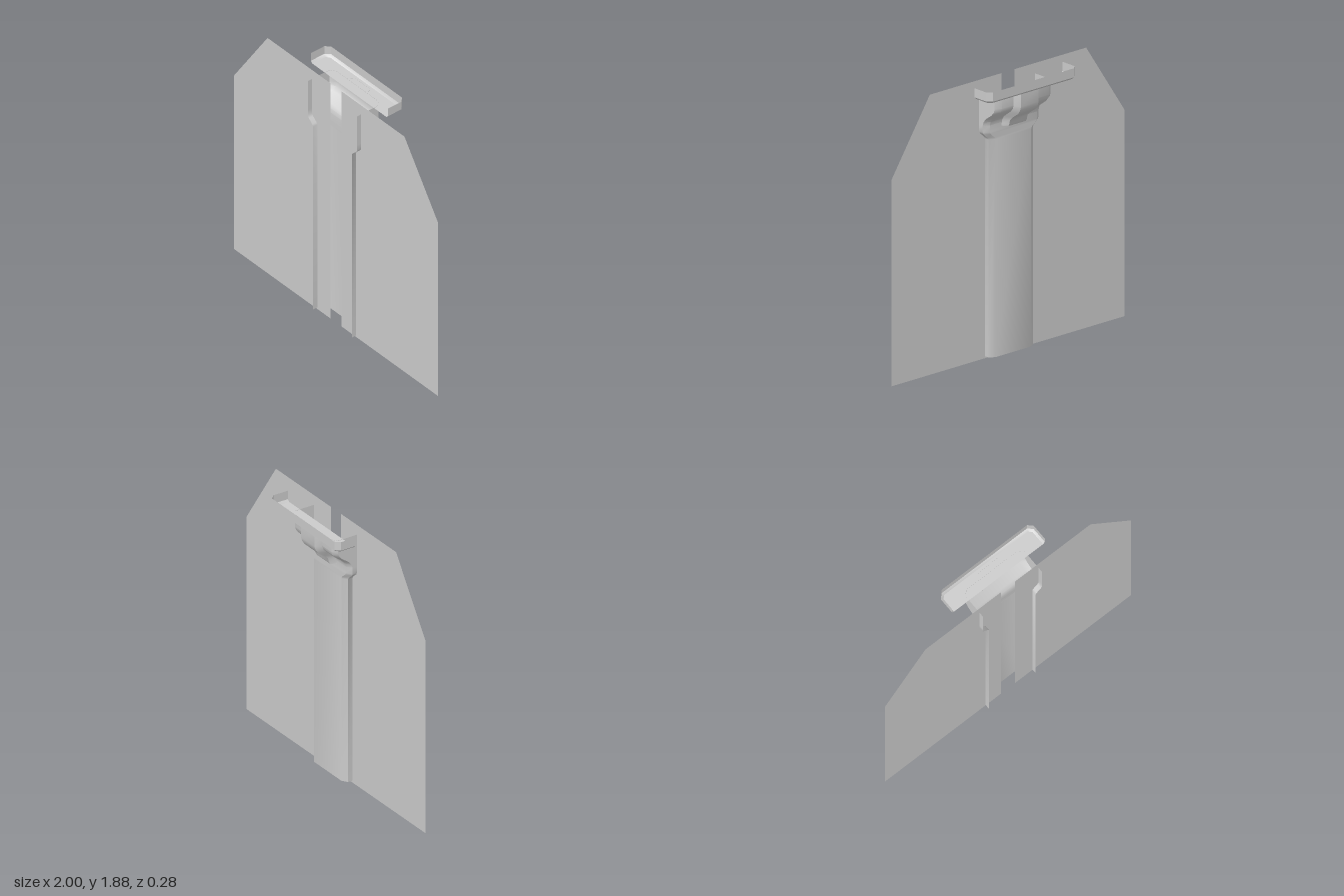
import * as THREE from 'three';
import { toCreasedNormals } from 'three/addons/utils/BufferGeometryUtils.js';

const material = new THREE.MeshStandardMaterial({ color: 0xcccccc, side: THREE.DoubleSide });
const CENTRE = 0.007; // bracket and tray sit slightly off the panel centre

// Skin between open cross-sections, each a list of [x, y, z]
function loft(name, sections) {
  const n = sections[0].length, index = [];
  for (let r = 0; r < sections.length - 1; r++) {
    for (let i = 0; i < n - 1; i++) {
      const a = r * n + i, b = a + n;
      index.push(a, b, a + 1, a + 1, b, b + 1);
    }
  }
  const geometry = new THREE.BufferGeometry();
  geometry.setAttribute('position', new THREE.Float32BufferAttribute(sections.flat(2), 3));
  geometry.setIndex(index);
  const mesh = new THREE.Mesh(toCreasedNormals(geometry, 0.6), material);
  mesh.name = name;
  return mesh;
}

function sheet(name, points) {
  const shape = new THREE.Shape(points.map(([x, y]) => new THREE.Vector2(x, y)));
  const mesh = new THREE.Mesh(new THREE.ShapeGeometry(shape), material);
  mesh.name = name;
  return mesh;
}

// Add the mirrored half to a list of [x, z] points
const mirrored = (half) => [...half, ...half.map(([x, z]) => [-x, z]).reverse()];

export function createModel() {
  const model = new THREE.Group();

  // Two thin front panels with a slot between them
  for (const side of [-1, 1]) {
    const outline = [[0.055, 0], [1, 0], [1, 1.38], [0.67, 1.875], [0.055, 1.875]];
    const panel = sheet(side > 0 ? 'leftPanel' : 'rightPanel', outline.map(([x, y]) => [x * side, y]));
    panel.position.z = 0.105;
    model.add(panel);
  }

  // Channel: [height, depth of back face, extra half width]
  const spine = [
    [0.013, 0.047, 0], [1.47, 0.047, 0], [1.485, 0.047, 0.008], [1.515, 0.047, 0.042],
    [1.53, 0.047, 0.05], [1.575, 0.047, 0.05], [1.6, 0.04, 0.05], [1.625, 0.02, 0.05],
    [1.665, -0.035, 0.05], [1.69, -0.057, 0.05], [1.715, -0.065, 0.05], [1.805, -0.065, 0.05],
  ];
  const channel = loft('channel', spine.map(([y, z, w]) =>
    mirrored([[-0.19 - w, 0.14], [-0.19 - w, z + 0.025], [-0.152 - w, z]]).map(([x, d]) => [x, y, d])));
  channel.position.x = CENTRE;
  model.add(channel);

  // Raised rib on the back of the bend: [height, root depth, face depth]
  const ribLine = [
    [1.55, 0.047, 0.047], [1.55, 0.047, 0.012], [1.565, 0.047, 0.004], [1.595, 0.042, -0.004],
    [1.62, 0.025, -0.03], [1.655, -0.022, -0.08], [1.68, -0.05, -0.097],
    [1.71, -0.065, -0.107], [1.805, -0.065, -0.107],
  ];
  const rib = loft('rib', ribLine.map(([y, root, face]) =>
    mirrored([[-0.1, root], [-0.075, face]]).map(([x, z]) => [x, y, z])));
  rib.position.x = CENTRE;
  model.add(rib);

  // Tray at the top, open above and in front
  const trayOutline = (inset) => mirrored([
    [-0.377 + inset, 0], [-0.377 + inset, -0.112 + inset * 0.5], [-0.347 + inset * 0.5, -0.142 + inset],
  ]);
  const tray = new THREE.Group();
  tray.name = 'tray';
  tray.position.x = CENTRE;
  tray.add(loft('trayWall', [[1.803, 0.015], [1.817, 0], [1.878, 0]].map(([y, inset]) =>
    trayOutline(inset).map(([x, z]) => [x, y, z]))));
  const floor = sheet('trayFloor', trayOutline(0.015).map(([x, z]) => [x, -z]));
  floor.rotation.x = -Math.PI / 2;
  floor.position.y = 1.803;
  tray.add(floor);
  model.add(tray);

  return model;
}
